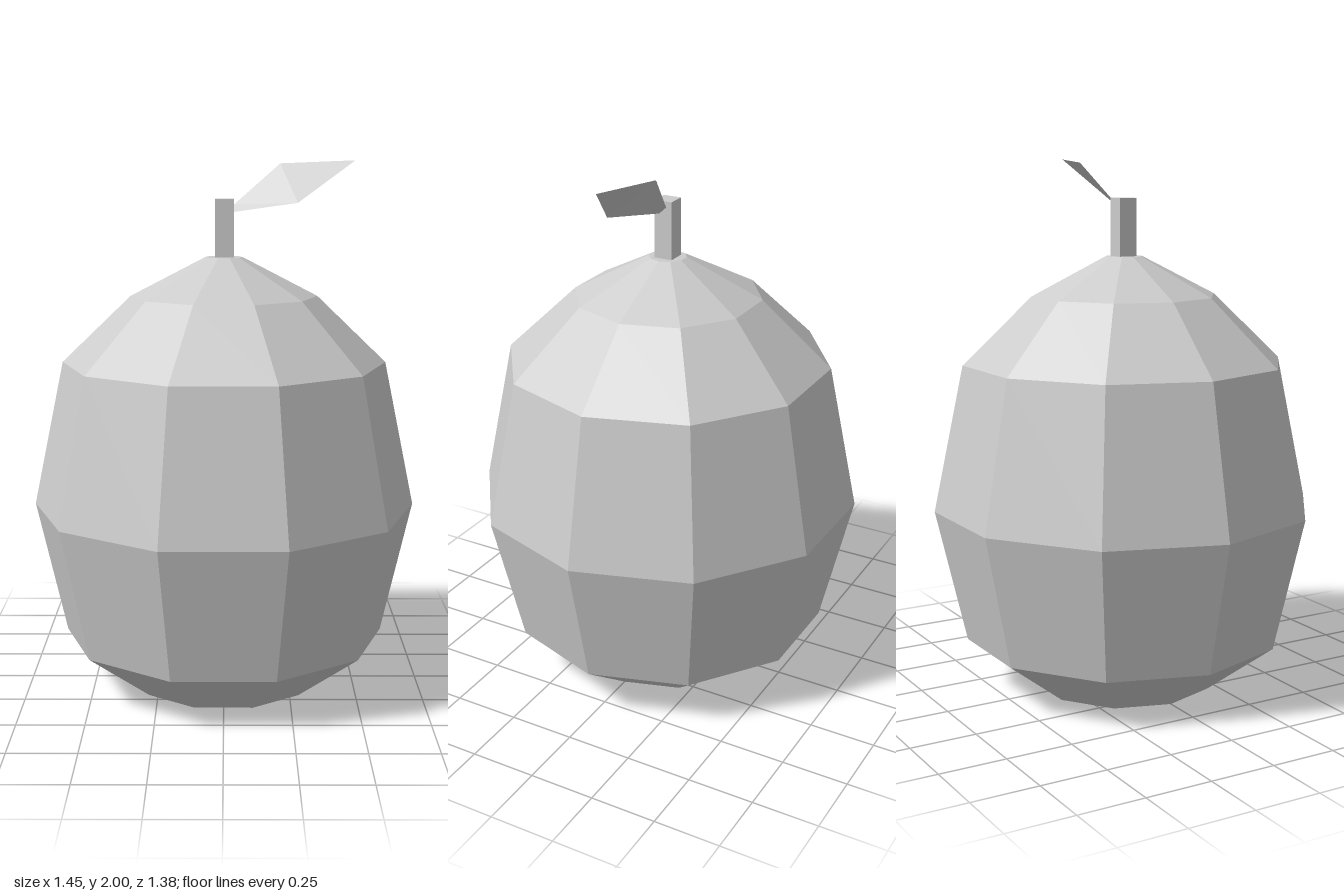
import * as THREE from 'three';

const RADIAL_SIDES = 10;

// Split the faces so every facet keeps its own normal.
function faceted(geometry) {
  const flat = geometry.index ? geometry.toNonIndexed() : geometry;
  flat.computeVertexNormals();
  return flat;
}

function addPart(group, name, geometry, material) {
  const mesh = new THREE.Mesh(faceted(geometry), material);
  mesh.name = name;
  group.add(mesh);
}

export function createModel() {
  const group = new THREE.Group();
  group.name = 'fruit';

  const grey = new THREE.MeshStandardMaterial({ color: 0xcccccc });
  grey.name = 'light grey';
  grey.flatShading = true;
  const leafGrey = grey; // one colour throughout
  leafGrey.side = THREE.DoubleSide;

  // Ten-sided fruit body, closed at the bottom and top
  const profile = [
    [0, 0], [0.35, 0], [0.61, 0.195], [0.725, 0.7],
    [0.61, 1.25], [0.35, 1.5], [0.07, 1.645], [0, 1.645],
  ].map(([r, y]) => new THREE.Vector2(r, y));
  addPart(group, 'fruitBody', new THREE.LatheGeometry(profile, RADIAL_SIDES, Math.PI / 2), grey);

  // Square stem
  const stem = new THREE.BoxGeometry(0.07, 0.225, 0.07);
  stem.translate(0.002, 1.7475, 0);
  addPart(group, 'stem', stem, grey);

  // Thin tilted leaf: narrow base, two side corners and a tip
  const leaf = new THREE.BufferGeometry();
  leaf.setAttribute('position', new THREE.Float32BufferAttribute([
    0.037, 1.812, 0.015,
    0.27, 1.848, 0.09,
    0.485, 2.0, 0,
    0.21, 1.988, -0.07,
    0.037, 1.838, -0.013,
  ], 3));
  leaf.setIndex([0, 1, 4, 1, 3, 4, 1, 2, 3]);
  addPart(group, 'leaf', leaf, leafGrey);

  return group;
}
